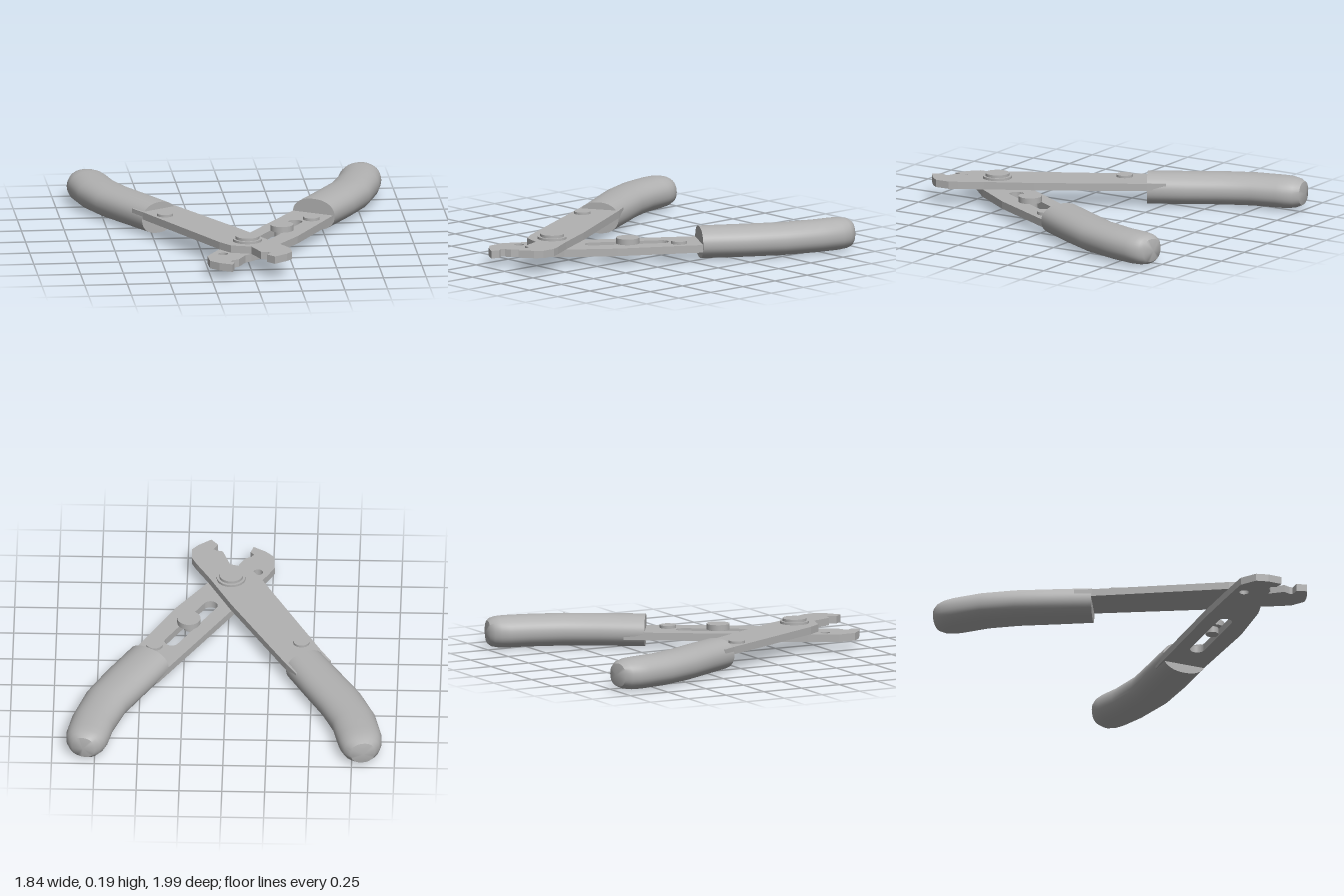
import * as THREE from 'three';
import { toCreasedNormals } from 'three/addons/utils/BufferGeometryUtils.js';

const steel = new THREE.MeshStandardMaterial({ color: 0xb2b2b2 });
steel.name = 'grey steel';

function add(group, name, geometry) {
  const mesh = new THREE.Mesh(geometry, steel);
  mesh.name = name;
  group.add(mesh);
  return mesh;
}

// Flat plate cut from an x/z outline, spanning y from bottom to top
function plate(points, holes, bottom, top) {
  const shape = new THREE.Shape(points.map(p => new THREE.Vector2(p[0], p[1])));
  shape.holes.push(...holes);
  const geo = new THREE.ExtrudeGeometry(shape, { depth: top - bottom, bevelEnabled: false, curveSegments: 12 });
  geo.rotateX(Math.PI / 2);
  geo.translate(0, top, 0);
  return geo;
}

// Upright disc such as a rivet head
function disc(x, z, r, bottom, top) {
  return new THREE.CylinderGeometry(r, r, top - bottom, 32).translate(x, (bottom + top) / 2, z);
}

// Rounded slot between two end centres
function slot(a, b, r) {
  const angle = Math.atan2(b[1] - a[1], b[0] - a[0]);
  const path = new THREE.Path();
  path.absarc(a[0], a[1], r, angle + Math.PI / 2, angle + Math.PI * 1.5, false);
  path.absarc(b[0], b[1], r, angle - Math.PI / 2, angle + Math.PI / 2, false);
  path.closePath();
  return path;
}

// Grip swept through rings of [x, z, half width, half height]
function grip(rings) {
  const sides = 40, midY = 0.094, pos = [], index = [];
  const pow = v => Math.sign(v) * Math.abs(v) ** 0.9;
  rings.forEach(([x, z, w, h], i) => {
    const a = rings[Math.max(i - 1, 0)], b = rings[Math.min(i + 1, rings.length - 1)];
    const t = new THREE.Vector2(b[0] - a[0], b[1] - a[1]).normalize();
    for (let j = 0; j < sides; j++) {
      const angle = j / sides * Math.PI * 2;
      const c = pow(Math.cos(angle)) * w, s = pow(Math.sin(angle)) * h;
      pos.push(x + t.y * c, midY + s, z - t.x * c);
    }
  });
  const last = rings.length - 1, startCentre = rings.length * sides;
  pos.push(rings[0][0], midY, rings[0][1]);
  // the far end is a slightly domed disc
  const dx = rings[last][0] - rings[last - 1][0], dz = rings[last][1] - rings[last - 1][1];
  const len = Math.hypot(dx, dz);
  pos.push(rings[last][0] + dx / len * 0.015, midY, rings[last][1] + dz / len * 0.015);
  for (let j = 0; j < sides; j++) {
    const k = (j + 1) % sides;
    for (let i = 0; i < last; i++) {
      const a = i * sides + j, b = i * sides + k;
      index.push(a, b, b + sides, a, b + sides, a + sides);
    }
    index.push(startCentre, k, j, startCentre + 1, last * sides + j, last * sides + k);
  }
  const geo = new THREE.BufferGeometry();
  geo.setAttribute('position', new THREE.Float32BufferAttribute(pos, 3));
  geo.setIndex(index);
  return toCreasedNormals(geo, 0.65);
}

export function createModel() {
  const model = new THREE.Group();
  model.name = 'wireStripper';
  const low = 0.055, mid = 0.1, high = 0.144;

  // Upper arm, crossing from the right grip to the left jaw
  const upper = new THREE.Group();
  upper.name = 'upperArm';
  model.add(upper);
  add(upper, 'upperBlade', plate([
    [-0.61, -0.16], [-0.41, -0.29], [-0.35, -0.2], [-0.015, 0.37], [0.122, 0.63],
    [0.196, 0.757], [0.222, 0.81], [0.225, 0.895], [0.19, 0.937], [0.115, 0.993],
    [0.074, 0.945], [0.1, 0.9], [0.085, 0.89], [0.045, 0.88], [0.0, 0.757],
    [-0.115, 0.722], [-0.175, 0.64], [-0.555, -0.07],
  ], [], mid, high));
  add(upper, 'upperRivet', disc(-0.434, 0.01, 0.048, high - 0.01, 0.158));
  add(upper, 'rightGrip', grip([
    [-0.455, -0.135, 0.122, 0.092], [-0.57, -0.33, 0.127, 0.093], [-0.68, -0.515, 0.131, 0.093],
    [-0.757, -0.69, 0.131, 0.093], [-0.794, -0.85, 0.13, 0.093], [-0.803, -0.905, 0.122, 0.091],
    [-0.81, -0.95, 0.104, 0.083], [-0.816, -0.983, 0.072, 0.068],
  ]));

  // Lower arm, with the adjusting slot and a small hole near the jaw
  const lower = new THREE.Group();
  lower.name = 'lowerArm';
  model.add(lower);
  const hole = new THREE.Path();
  hole.absarc(-0.164, 0.741, 0.028, 0, Math.PI * 2, false);
  add(lower, 'lowerBlade', plate([
    [0.605, -0.14], [0.4, -0.29], [0.333, -0.185], [-0.02, 0.37], [-0.17, 0.625],
    [-0.233, 0.735], [-0.26, 0.785], [-0.255, 0.89], [-0.205, 0.942], [-0.132, 0.985],
    [-0.116, 0.937], [-0.135, 0.91], [-0.122, 0.89], [-0.085, 0.873], [-0.037, 0.783],
    [0, 0.757], [0.122, 0.64], [0.307, 0.386], [0.56, -0.06],
  ], [slot([0.106, 0.413], [0.323, 0.063], 0.042), hole], low, mid));
  add(lower, 'lowerRivet', disc(0.423, 0.016, 0.048, mid - 0.01, 0.117));
  add(lower, 'leftGrip', grip([
    [0.45, -0.118, 0.135, 0.092], [0.585, -0.34, 0.135, 0.093], [0.693, -0.53, 0.131, 0.093],
    [0.767, -0.74, 0.127, 0.093], [0.793, -0.865, 0.125, 0.093], [0.803, -0.915, 0.114, 0.09],
    [0.809, -0.948, 0.094, 0.083], [0.814, -0.968, 0.07, 0.068],
  ]));

  // Adjusting stop that slides in the slot
  const stop = new THREE.Group();
  stop.name = 'adjustingStop';
  model.add(stop);
  add(stop, 'stopHead', disc(0.228, 0.243, 0.068, mid + 0.002, 0.136));
  add(stop, 'stopStem', disc(0.222, 0.24, 0.038, 0.065, mid + 0.01));

  // Pivot bolt
  const pivot = new THREE.Group();
  pivot.name = 'pivot';
  model.add(pivot);
  add(pivot, 'pivotWasher', disc(-0.01, 0.62, 0.085, low + 0.01, 0.158));
  add(pivot, 'pivotHead', disc(-0.01, 0.62, 0.07, 0.15, 0.174));

  return model;
}
